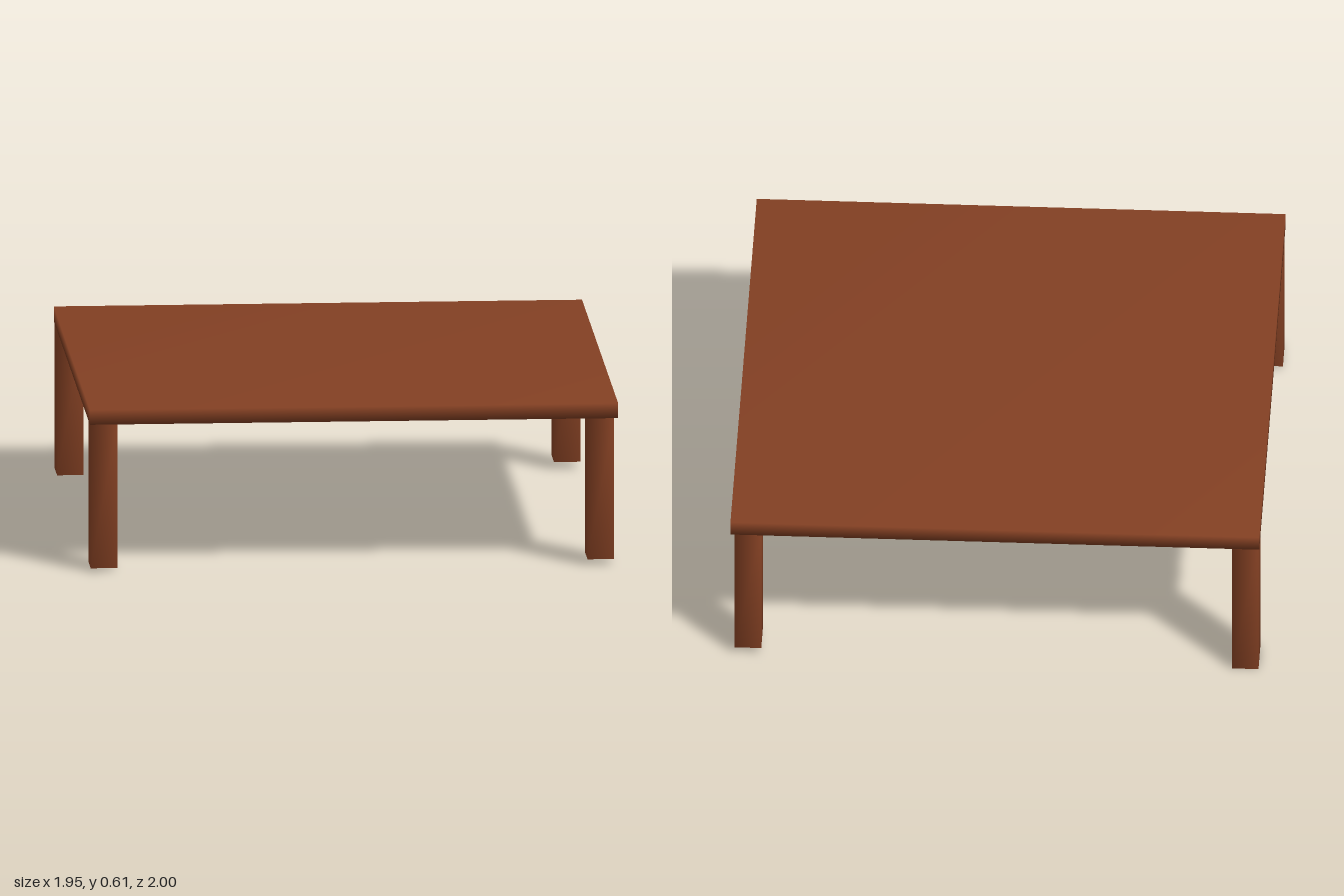
import * as THREE from 'three';
import { mergeVertices } from 'three/addons/utils/BufferGeometryUtils.js';

// Box between two corners, with normals shared across its edges
function softBox(name, material, [x0, y0, z0], [x1, y1, z1]) {
  let geo = new THREE.BoxGeometry(x1 - x0, y1 - y0, z1 - z0);
  geo.deleteAttribute('normal');
  geo.deleteAttribute('uv');
  geo = mergeVertices(geo);
  geo.computeVertexNormals();
  const mesh = new THREE.Mesh(geo, material);
  mesh.name = name;
  mesh.position.set((x0 + x1) / 2, (y0 + y1) / 2, (z0 + z1) / 2);
  return mesh;
}

export function createModel() {
  const table = new THREE.Group();
  table.name = 'table';
  const wood = new THREE.MeshStandardMaterial({ color: 0x834023 });
  wood.name = 'brown wood';

  // Thin square top
  const under = 0.55;
  table.add(softBox('tableTop', wood, [-0.973, under, -1], [0.973, 0.605, 1]));

  // Hand-cut legs: each ends at a slightly different height
  const legs = [
    ['frontRightLeg', -0.97, 0.86, 0.012],
    ['frontLeftLeg', 0.86, 0.86, 0.022],
    ['backRightLeg', -0.97, -0.995, 0],
    ['backLeftLeg', 0.86, -0.99, 0.027],
  ];
  for (const [name, x, z, foot] of legs) {
    table.add(softBox(name, wood, [x, foot, z], [x + 0.098, under + 0.005, z + 0.137]));
  }
  return table;
}
